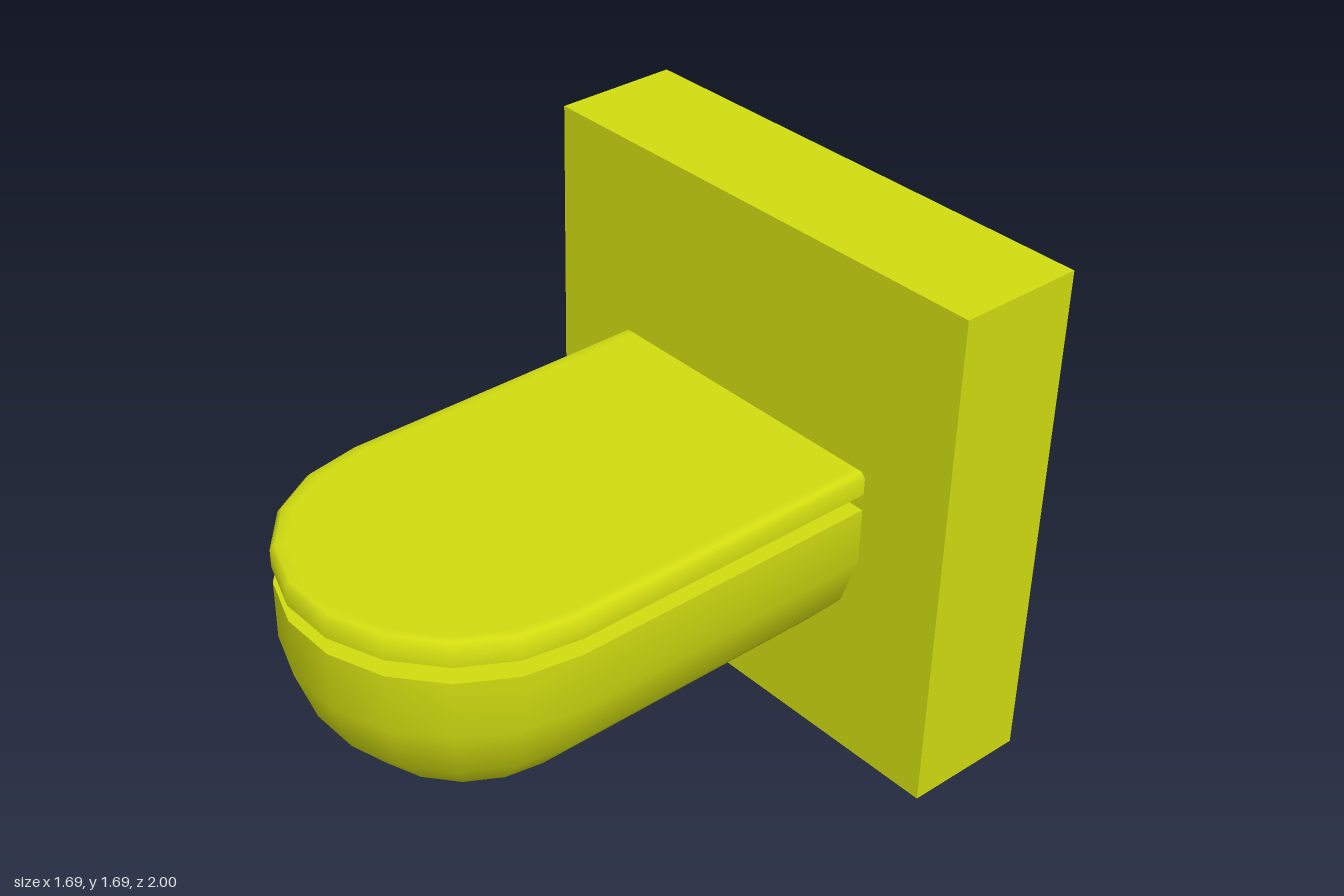
import * as THREE from 'three';
import { toCreasedNormals } from 'three/addons/utils/BufferGeometryUtils.js';

const material = new THREE.MeshStandardMaterial({ color: 0xd0dc10 });
const WALL_FACE = -0.58; // front of the backing panel
const ARC_Z = 0.473;     // centre of the rounded nose
const ARC_STEPS = 9;

// Solid with a U-shaped plan, lofted through [radius, y] levels from bottom to top
function loftU(levels) {
  const positions = [];
  const index = [];
  const n = ARC_STEPS + 3;
  for (const [r, y] of levels) {
    positions.push(r, y, WALL_FACE);
    for (let i = 0; i <= ARC_STEPS; i++) {
      const a = (i / ARC_STEPS) * Math.PI;
      positions.push(r * Math.cos(a), y, ARC_Z + r * Math.sin(a));
    }
    positions.push(-r, y, WALL_FACE);
  }
  // walls
  for (let j = 0; j < levels.length - 1; j++) {
    for (let i = 0; i < n; i++) {
      const a = j * n + i;
      const b = j * n + ((i + 1) % n);
      index.push(a, a + n, b, b, a + n, b + n);
    }
  }
  // bottom and top caps
  const top = (levels.length - 1) * n;
  for (let i = 1; i < n - 1; i++) {
    index.push(0, i, i + 1, top, top + i + 1, top + i);
  }
  const geometry = new THREE.BufferGeometry();
  geometry.setAttribute('position', new THREE.Float32BufferAttribute(positions, 3));
  geometry.setIndex(index);
  return toCreasedNormals(geometry, 0.9);
}

function addPart(group, name, geometry, x, y, z) {
  const mesh = new THREE.Mesh(geometry, material);
  mesh.name = name;
  mesh.position.set(x, y, z);
  group.add(mesh);
}

export function createModel() {
  const model = new THREE.Group();
  model.name = 'wallHungToilet';

  // Upright panel behind the bowl
  addPart(model, 'backPanel', new THREE.BoxGeometry(1.69, 1.69, 0.42), 0, 0.845, -0.79);

  // Bowl, rounding in towards a flat underside
  addPart(model, 'bowl', loftU([
    [0.187, 0.3], [0.35, 0.395], [0.474, 0.54], [0.535, 0.715], [0.535, 0.905],
  ]), -0.01, 0, 0);

  // Lid with a softened upper edge, floating just above the bowl
  addPart(model, 'lid', loftU([
    [0.535, 0.96], [0.535, 1.018], [0.52, 1.033], [0.49, 1.033],
  ]), -0.01, 0, 0);

  return model;
}
